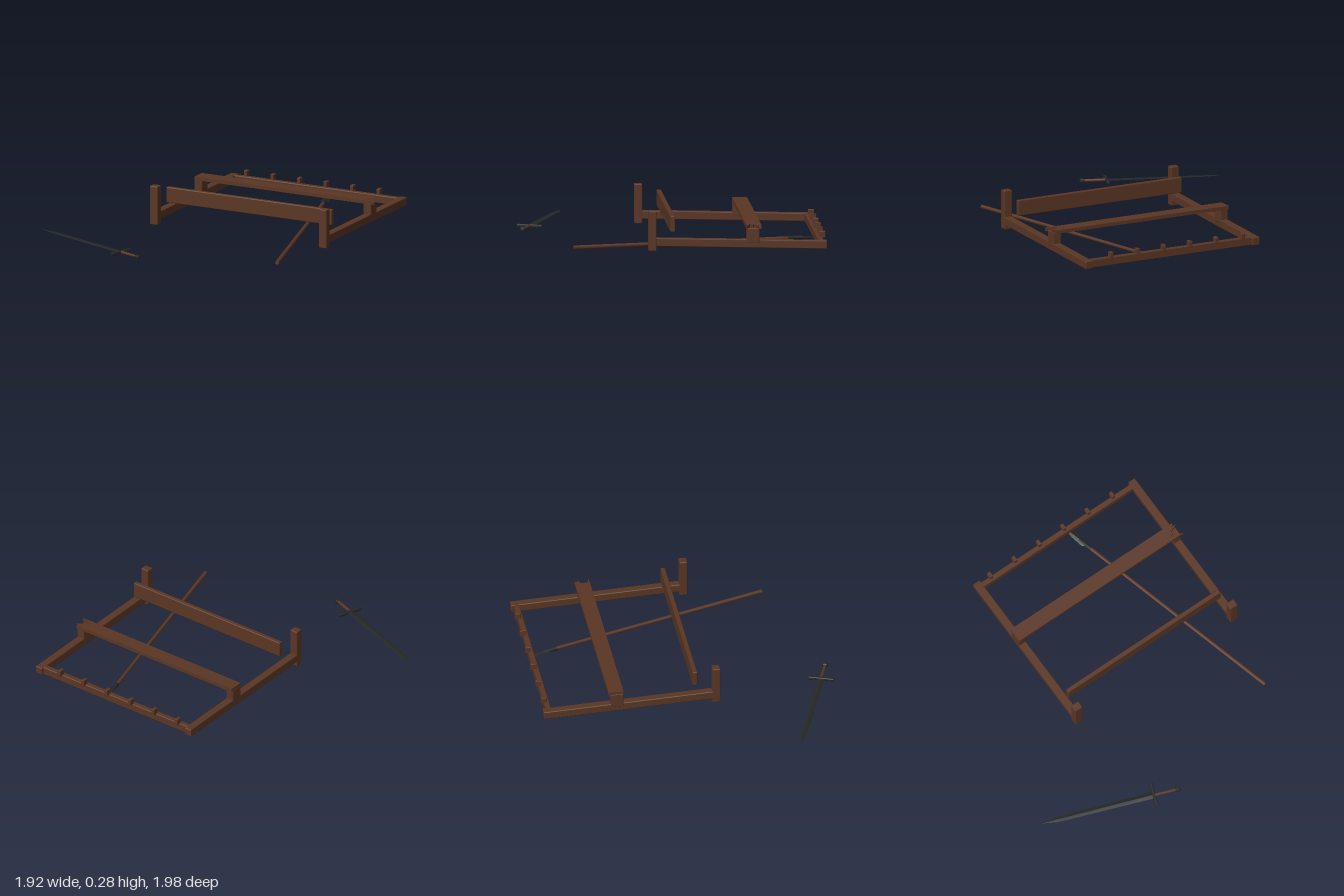
import * as THREE from 'three';
import { RoundedBoxGeometry } from 'three/addons/geometries/RoundedBoxGeometry.js';

const mat = (name, color) => {
  const m = new THREE.MeshStandardMaterial({ color });
  m.name = name;
  return m;
};

export function createModel() {
  const wood = mat('dark wood', 0x5a3624);
  const iron = mat('dark iron', 0x252727);
  const model = new THREE.Group();

  const add = (parent, name, geometry, material, x = 0, y = 0, z = 0) => {
    const mesh = new THREE.Mesh(geometry, material);
    mesh.name = name;
    mesh.position.set(x, y, z);
    parent.add(mesh);
    return mesh;
  };
  // Chamfered timber given by its extents on each axis
  const beam = (parent, name, [x0, x1], [y0, y1], [z0, z1], bevel = 0.006) =>
    add(parent, name, new RoundedBoxGeometry(x1 - x0, y1 - y0, z1 - z0, 1, bevel), wood,
      (x0 + x1) / 2, (y0 + y1) / 2, (z0 + z1) / 2);
  // Flat outline in x/z, extruded upward by its thickness
  const plate = (points, thickness) => {
    const shape = new THREE.Shape(points.map(([x, z]) => new THREE.Vector2(x, -z)));
    return new THREE.ExtrudeGeometry(shape, { depth: thickness, bevelEnabled: false }).rotateX(-Math.PI / 2);
  };
  // Blade with a diamond section: stations of [x, half width, half thickness]
  const blade = (stations) => {
    const pos = [];
    const ring = ([x, w, t]) => [[x, 0, w], [x, t, 0], [x, 0, -w], [x, -t, 0]];
    for (let i = 0; i < stations.length - 1; i++) {
      const a = ring(stations[i]), b = ring(stations[i + 1]);
      for (let k = 0; k < 4; k++) {
        const n = (k + 1) % 4;
        pos.push(...a[k], ...b[k], ...b[n], ...a[k], ...b[n], ...a[n]);
      }
    }
    const g = new THREE.BufferGeometry();
    g.setAttribute('position', new THREE.Float32BufferAttribute(pos, 3));
    g.computeVertexNormals();
    return g;
  };
  const rod = (r0, r1, length, sides) =>
    new THREE.CylinderGeometry(r1, r0, length, sides).rotateZ(-Math.PI / 2);

  // Collapsed rack
  const rack = new THREE.Group();
  rack.name = 'rack';
  model.add(rack);
  for (const x of [-0.353, 0.907]) {
    const span = [x - 0.029, x + 0.029];
    beam(rack, 'frontPost', span, [0.01, 0.277], [0.147, 0.2]);
    const rail = beam(rack, 'sideRail', [x - 0.027, x + 0.027], [0.027, 0.082], [-0.992, 0.16]);
    rail.rotation.x = -0.026;
    beam(rack, 'shelfSupport', span, [0.055, 0.156], [-0.54, -0.455]);
  }
  beam(rack, 'frontBoard', [-0.335, 0.9], [0.131, 0.237], [0.02, 0.052]);
  beam(rack, 'backBar', [-0.35, 0.905], [0.013, 0.068], [-0.974, -0.936]);
  for (let i = 0; i < 6; i++) {
    const x = -0.255 + i * 0.198;
    beam(rack, 'peg', [x - 0.012, x + 0.012], [0.06, 0.105], [-0.993, -0.953], 0.003);
  }

  // Shelf plank, splintered at one end
  add(rack, 'brokenShelf', plate([
    [-0.38, -0.455], [0.955, -0.455], [0.9, -0.472], [0.868, -0.48], [0.9, -0.498],
    [0.885, -0.508], [0.945, -0.533], [0.92, -0.537], [0.93, -0.555], [-0.38, -0.555],
  ], 0.024), wood, 0, 0.151, 0);

  // Spear, built along +x from the butt and turned into place
  const spear = new THREE.Group();
  spear.name = 'spear';
  spear.position.set(0.816, 0.023, 0.69);
  spear.rotation.set(0, Math.PI - Math.atan2(1.47, 0.4), -0.007, 'YZX');
  spear.rotation.y = Math.atan2(1.47, -0.4);
  model.add(spear);
  add(spear, 'spearShaft', rod(0.0135, 0.012, 1.53, 8), wood, 0.765);
  add(spear, 'spearSocket', rod(0.015, 0.012, 0.1, 8), iron, 1.56);
  add(spear, 'spearBlade', blade([
    [1.53, 0.003, 0.003], [1.57, 0.026, 0.008], [1.66, 0.021, 0.006], [1.745, 0, 0],
  ]), iron);

  // Sword, built along -x blade to +x pommel about its guard
  const sword = new THREE.Group();
  sword.name = 'sword';
  sword.position.set(-0.24, 0.017, 0.905);
  sword.rotation.y = -Math.atan2(0.325, 0.9);
  model.add(sword);
  add(sword, 'swordBlade', blade([
    [-0.775, 0, 0], [-0.665, 0.019, 0.003], [-0.3, 0.022, 0.004], [0, 0.024, 0.005],
  ]), iron);
  add(sword, 'swordGuard', new RoundedBoxGeometry(0.022, 0.02, 0.175, 1, 0.005), iron);
  add(sword, 'swordGrip', rod(0.011, 0.01, 0.15, 8), wood, 0.08);
  add(sword, 'swordPommel', new RoundedBoxGeometry(0.032, 0.026, 0.034, 1, 0.008), iron, 0.164);

  return model;
}
